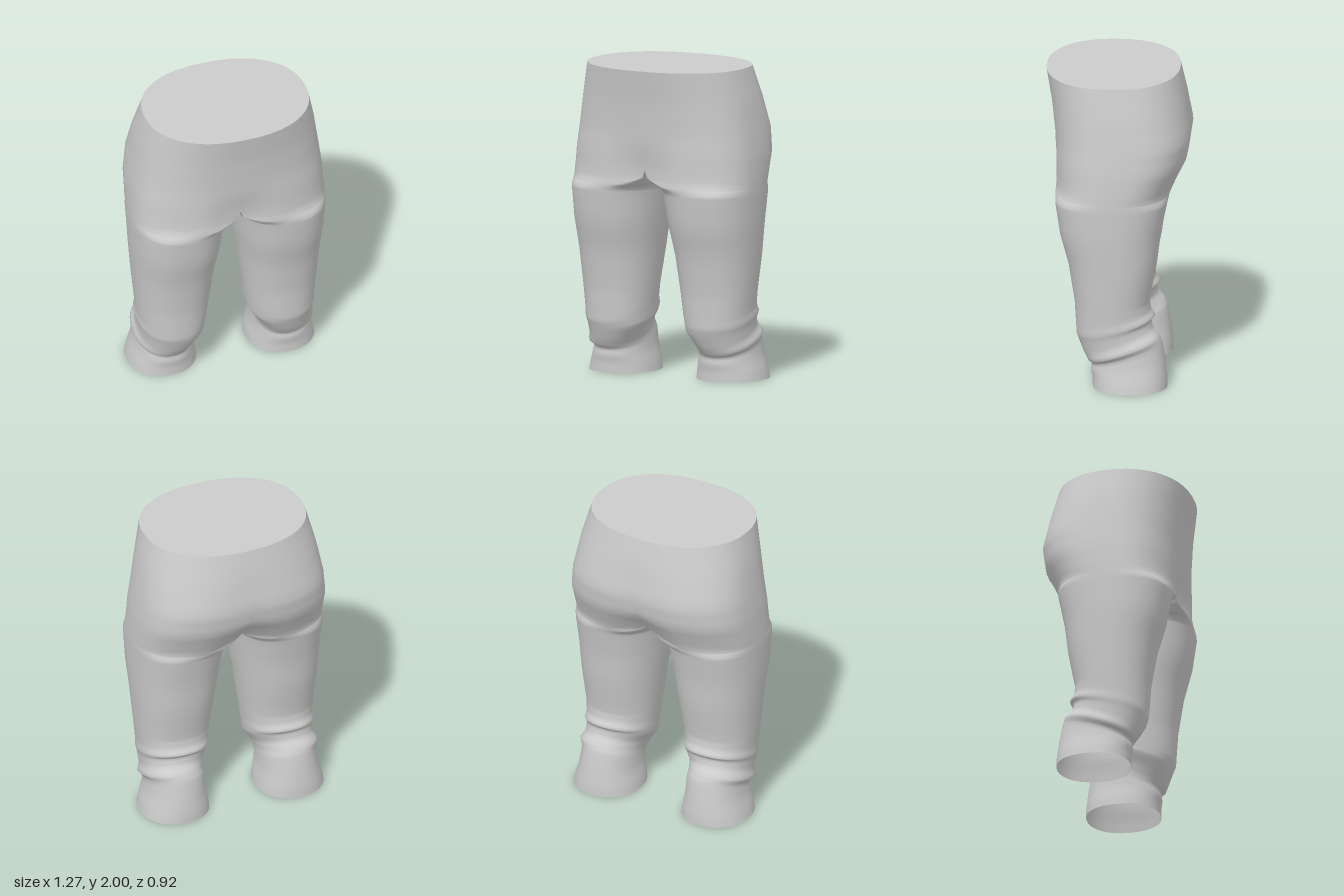
import * as THREE from 'three';
import { mergeVertices } from 'three/addons/utils/BufferGeometryUtils.js';

const { lerp, smoothstep } = THREE.MathUtils;
const STEPS = 22; // points along each half of a section

// Sections of one leg and its half of the hips:
// height, tilt (back higher than front), inner x, outer x, front z, back z, squareness
const sections = [
  [0, 0, 0.17, 0.615, 0.155, -0.32, 2.2],
  [0.06, 0, 0.178, 0.602, 0.156, -0.318, 2.2],
  [0.14, 0.03, 0.195, 0.578, 0.165, -0.305, 2.2],
  [0.22, 0.07, 0.2, 0.565, 0.16, -0.285, 2.2],
  [0.255, 0.08, 0.2, 0.592, 0.185, -0.265, 2.2],
  [0.3, 0.08, 0.185, 0.572, 0.21, -0.225, 2.2],
  [0.36, 0.07, 0.145, 0.575, 0.24, -0.215, 2.2],
  [0.4, 0.06, 0.14, 0.585, 0.258, -0.238, 2.2],
  [0.45, 0.05, 0.135, 0.582, 0.262, -0.212, 2.2],
  [0.56, 0, 0.12, 0.593, 0.272, -0.205, 2.2],
  [0.8, 0, 0.09, 0.613, 0.31, -0.25, 2.25],
  [1.0, 0, 0.06, 0.628, 0.365, -0.275, 2.3],
  [1.2, 0, 0.035, 0.635, 0.395, -0.315, 2.4],
  [1.24, 0, 0.025, 0.635, 0.397, -0.327, 2.5],
  [1.25, 0, 0, 0.635, 0.398, -0.332, 2.5],
  [1.3, 0, 0, 0.634, 0.402, -0.365, 2.7],
  [1.45, 0, 0, 0.627, 0.405, -0.44, 2.75],
  [1.6, 0, 0, 0.61, 0.407, -0.465, 2.65],
  [1.8, 0, 0, 0.58, 0.43, -0.43, 2.4],
  [2.0, 0, 0, 0.535, 0.465, -0.385, 2.25],
];

// Adds in-between sections so the surface stays smooth
function refine(list, parts) {
  const out = [];
  for (let i = 0; i < list.length - 1; i++) {
    for (let k = 0; k < parts; k++) {
      out.push(list[i].map((v, c) => lerp(v, list[i + 1][c], k / parts)));
    }
  }
  out.push(list[list.length - 1]);
  return out;
}

// One closed loop: front, round the outside to the back, and along the inside again
function sectionLoop([y, tilt, xin, xout, zf, zb, n]) {
  const join = smoothstep(y, 1.2, 1.32); // legs flow into the hips
  const cx = lerp((xin + xout) / 2, 0, join);
  const cz = (zf + zb) / 2;
  const rz = (zf - zb) / 2;
  const frontDip = join * 0.05 * (1 - smoothstep(y, 1.3, 1.6));
  const backDip = join * (0.07 * (1 - smoothstep(y, 1.3, 1.5)) + 0.015 * (1 - smoothstep(y, 1.6, 1.9)));
  const loop = [];
  for (let j = 0; j < STEPS * 2; j++) {
    const a = (j / STEPS) * Math.PI;
    const s = Math.abs(Math.sin(a)) ** (2 / n);
    const c = Math.sign(Math.cos(a)) * Math.abs(Math.cos(a)) ** (2 / n);
    const x = cx + ((j <= STEPS ? xout : xin) - cx) * s;
    const dip = (c > 0 ? frontDip : backDip) * Math.exp(-((x / 0.13) ** 2)) * c;
    loop.push([x, y - tilt * c, cz + rz * c - dip]);
  }
  return loop;
}

function buildTrousers(loops) {
  const pos = [];
  const tri = (a, b, c) => {
    if (Math.max(a[0], b[0], c[0]) < 1e-4) return; // nothing on the centre plane
    pos.push(...a, ...b, ...c);
    for (const p of [a, c, b]) pos.push(-p[0], p[1], p[2]); // mirrored half
  };
  for (let i = 0; i < loops.length - 1; i++) {
    const lo = loops[i], hi = loops[i + 1];
    for (let j = 0; j < lo.length; j++) {
      const k = (j + 1) % lo.length;
      tri(lo[j], lo[k], hi[k]);
      tri(lo[j], hi[k], hi[j]);
    }
  }
  const geo = new THREE.BufferGeometry();
  geo.setAttribute('position', new THREE.Float32BufferAttribute(pos, 3));
  const merged = mergeVertices(geo, 1e-4);
  merged.computeVertexNormals();
  return merged;
}

// Flat closure of the waist opening
function buildWaist(loop) {
  const half = loop.slice(0, STEPS + 1);
  const outline = [...half, ...half.slice(1, -1).reverse().map(([x, y, z]) => [-x, y, z])];
  const shape = new THREE.Shape(outline.map(([x, , z]) => new THREE.Vector2(x, -z)));
  return new THREE.ShapeGeometry(shape).rotateX(-Math.PI / 2).translate(0, loop[0][1], 0);
}

export function createModel() {
  const group = new THREE.Group();
  group.name = 'trousers';
  const material = new THREE.MeshStandardMaterial({ color: 0xcccccc, side: THREE.DoubleSide });
  const loops = refine(sections, 3).map(sectionLoop);

  const legs = new THREE.Mesh(buildTrousers(loops), material);
  legs.name = 'legsAndHips';
  const waist = new THREE.Mesh(buildWaist(loops[loops.length - 1]), material);
  waist.name = 'waistTop';
  group.add(legs, waist);
  return group;
}
